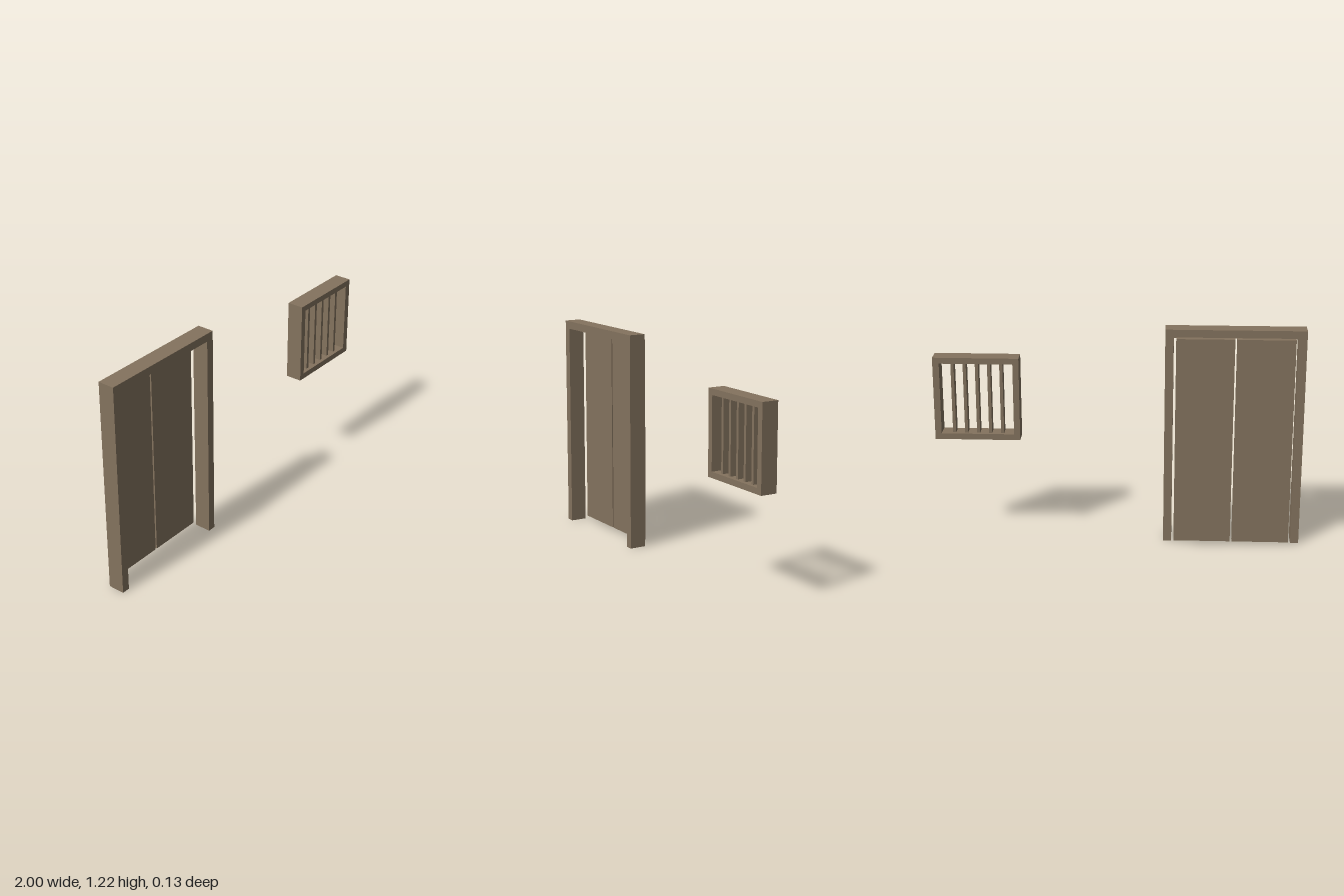
import * as THREE from 'three';

const FRAME_BACK = -0.027, FRAME_DEPTH = 0.093;

function polygon(points, Type = THREE.Shape) {
  return new Type(points.map(([x, y]) => new THREE.Vector2(x, y)));
}

function rectangle(x0, x1, y0, y1, Type) {
  return polygon([[x0, y0], [x1, y0], [x1, y1], [x0, y1]], Type);
}

export function createModel() {
  const model = new THREE.Group();
  const wood = new THREE.MeshStandardMaterial({ color: 0x84735e });
  wood.name = 'brown wood';

  // Extrudes a flat outline from zBack towards the front
  function addPart(parent, name, shape, zBack, depth) {
    const geometry = new THREE.ExtrudeGeometry(shape, { depth, bevelEnabled: false });
    geometry.translate(0, 0, zBack);
    const mesh = new THREE.Mesh(geometry, wood);
    mesh.name = name;
    parent.add(mesh);
  }

  // Double door: one-piece frame open at the floor, two panels behind it
  const doorway = new THREE.Group();
  doorway.name = 'doorway';
  model.add(doorway);
  const arch = polygon([
    [-1, 0], [-0.955, 0], [-0.955, 1.173], [-0.295, 1.173],
    [-0.295, 0], [-0.25, 0], [-0.25, 1.217], [-1, 1.217],
  ]);
  addPart(doorway, 'doorFrame', arch, FRAME_BACK, FRAME_DEPTH);
  addPart(doorway, 'rightDoorPanel', rectangle(-0.94, -0.629, 0.02, 1.177), -0.066, 0.033);
  addPart(doorway, 'leftDoorPanel', rectangle(-0.619, -0.308, 0.02, 1.177), -0.066, 0.033);

  // Barred window: square frame with five upright bars set inside it
  const barredWindow = new THREE.Group();
  barredWindow.name = 'barredWindow';
  model.add(barredWindow);
  const border = rectangle(0.535, 1, 0.582, 1.045);
  border.holes.push(rectangle(0.568, 0.965, 0.615, 1.012, THREE.Path));
  addPart(barredWindow, 'windowFrame', border, FRAME_BACK, FRAME_DEPTH);
  for (let i = 0; i < 5; i++) {
    const x = 0.633 + i * 0.066;
    addPart(barredWindow, 'windowBar' + (i + 1), rectangle(x - 0.0085, x + 0.0085, 0.615, 1.012), -0.007, 0.053);
  }

  return model;
}
